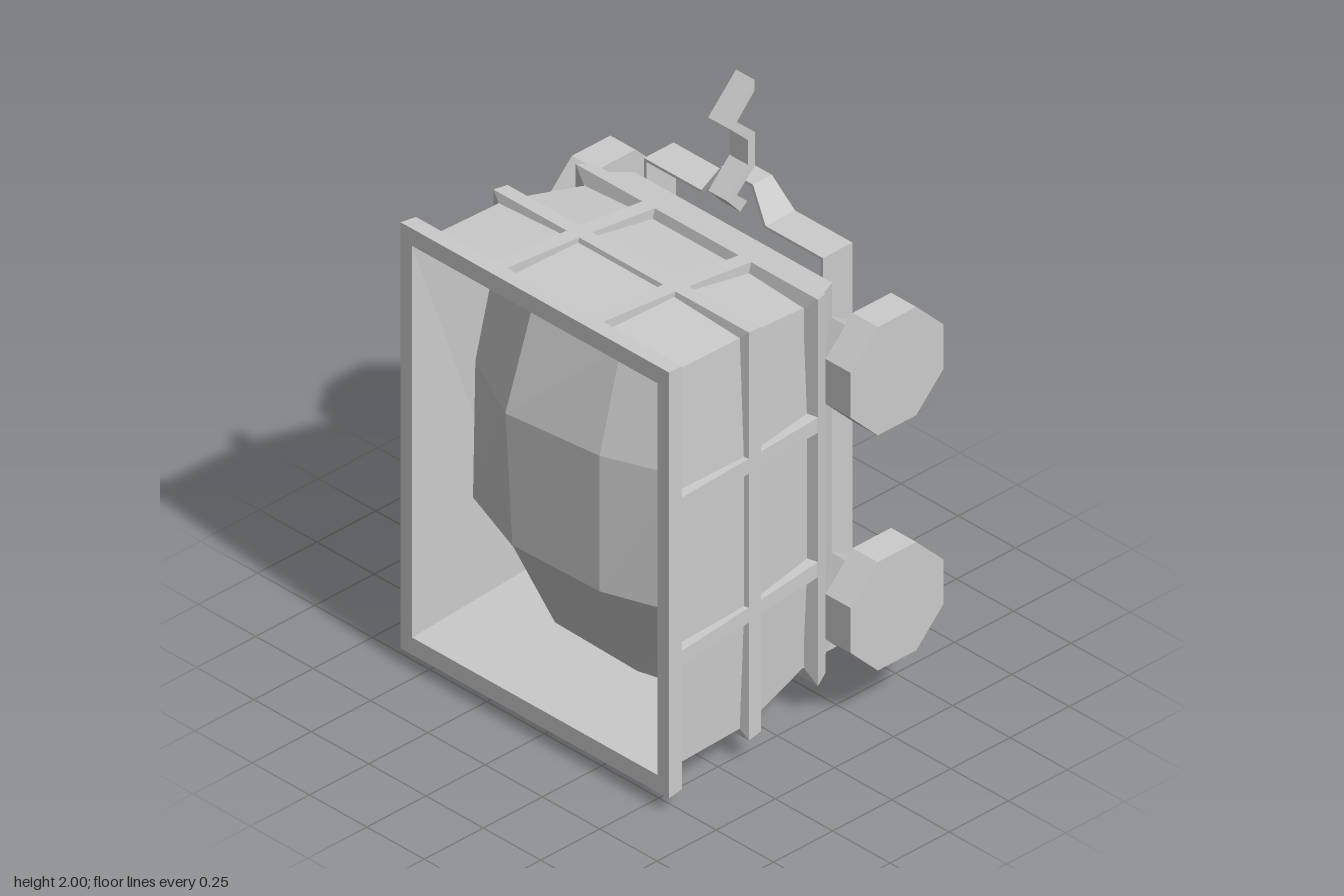
import * as THREE from 'three';

const CY = 0.825; // height of the tub's centre line
const material = new THREE.MeshStandardMaterial({ color: 0xcccccc, flatShading: true, side: THREE.DoubleSide });

// Outer half width and half height of the tub along its depth: [z, hx, hy]
const PROFILE = [[0.54, 0.585, 0.77], [0.15, 0.555, 0.735], [-0.14, 0.53, 0.7], [-0.2, 0.505, 0.685], [-0.3, 0.43, 0.645]];

function halfSize(z) {
  for (let i = 1; i < PROFILE.length; i++) {
    const [za, xa, ya] = PROFILE[i - 1], [zb, xb, yb] = PROFILE[i];
    if (z >= zb) {
      const t = (za - z) / (za - zb);
      return [xa + (xb - xa) * t, ya + (yb - ya) * t];
    }
  }
}

function rect(hx, hy, z) {
  return [[hx, CY + hy, z], [-hx, CY + hy, z], [-hx, CY - hy, z], [hx, CY - hy, z]];
}

function tubRing(z, inset) {
  const [hx, hy] = halfSize(z);
  return rect(hx - inset, hy - inset, z);
}

// Ring of the bulging skin: three panels per wall, sunk deeper at the corners
function skinRing(z, cornerInset, strapInset) {
  const [hx, hy] = halfSize(z);
  const cx = hx - cornerInset, cy = hy - cornerInset, sx = hx - strapInset, sy = hy - strapInset;
  return [
    [cx, cy], [0.21, sy], [-0.21, sy],
    [-cx, cy], [-sx, 0.25], [-sx, -0.28],
    [-cx, -cy], [-0.21, -sy], [0.21, -sy],
    [cx, -cy], [sx, -0.28], [sx, 0.25],
  ].map(([x, y]) => [x, CY + y, z]);
}

// Joins sections of equal point count; they can form a loop, or four-cornered ends can be capped
function loft(sections, { loop = false, caps = false } = {}) {
  const pos = [];
  const quad = (a, b, c, d) => pos.push(...a, ...b, ...c, ...a, ...c, ...d);
  const n = sections.length;
  for (let i = 0; i < (loop ? n : n - 1); i++) {
    const p = sections[i], q = sections[(i + 1) % n];
    for (let k = 0; k < p.length; k++) {
      const m = (k + 1) % p.length;
      quad(p[k], p[m], q[m], q[k]);
    }
  }
  if (caps) {
    quad(...[...sections[0]].reverse());
    quad(...sections[n - 1]);
  }
  const geo = new THREE.BufferGeometry();
  geo.setAttribute('position', new THREE.Float32BufferAttribute(pos, 3));
  geo.computeVertexNormals();
  return geo;
}

export function createModel() {
  const model = new THREE.Group();
  model.name = 'mineCart';
  const add = (name, geo, parent = model) => {
    const mesh = new THREE.Mesh(geo, material);
    mesh.name = name;
    parent.add(mesh);
    return mesh;
  };

  // Thin tub walls, open at the back, with a chamfered end
  add('tubWalls', loft([
    skinRing(0.49, 0.052, 0.035), skinRing(0.15, 0.03, 0.015), skinRing(-0.16, 0.05, 0.035),
    skinRing(-0.2, 0.02, 0.015), skinRing(-0.3, 0, 0)]));

  // Rim and two bands around the tub, with slightly bevelled sides
  const bands = [['rim', 0.54, 0.48, 0], ['middleBand', 0.175, 0.12, 0.012], ['lowerBand', -0.145, -0.2, 0.012]];
  for (const [name, a, b, bevel] of bands) {
    add(name, loft([tubRing(a, 0), tubRing(b, 0), tubRing(b, 0.05), tubRing(a + bevel, 0.05)], { loop: true }));
  }

  // Straps running along the depth, two on each wall
  const straps = new THREE.Group();
  straps.name = 'straps';
  model.add(straps);
  for (const wall of [-1, 1]) {
    for (const side of [-1, 1]) {
      const sideRings = [], topRings = [];
      for (const z of [0.52, 0.15, -0.14, -0.2]) {
        const [hx, hy] = halfSize(z);
        const y = CY - 0.015 + side * (0.265 + z * 0.025), x = side * 0.21, w = 0.027;
        const xo = wall * hx, xi = wall * (hx - 0.05);
        const yo = CY + wall * hy, yi = CY + wall * (hy - 0.05);
        sideRings.push([[xo, y - w, z], [xo, y + w, z], [xi, y + w, z], [xi, y - w, z]]);
        topRings.push([[x - w, yo, z], [x + w, yo, z], [x + w, yi, z], [x - w, yi, z]]);
      }
      add('sideStrap', loft(sideRings, { caps: true }), straps);
      add('topStrap', loft(topRings, { caps: true }), straps);
    }
  }

  // Faceted load bulging towards the opening
  const xs = [-0.455, -0.18, 0.19, 0.45], ys = [0.22, 0.58, 1.07, 1.42];
  const zs = [[0.12, 0.28, 0.29, 0.22], [0.36, 0.46, 0.45, 0.36], [0.35, 0.49, 0.45, 0.35], [0.26, 0.37, 0.36, 0.26]];
  const load = new THREE.PlaneGeometry(1, 1, 3, 3);
  for (let i = 0; i < 16; i++) {
    const c = i % 4, r = 3 - Math.floor(i / 4);
    load.attributes.position.setXYZ(i, xs[c], ys[r], zs[r][c]);
  }
  load.computeVertexNormals();
  add('load', load);

  // Sloping inner walls from the rim down to the corners of the load
  const lip = rect(0.535, 0.708, 0.54);
  const base = [[0.45, 1.42, 0.26], [-0.455, 1.42, 0.26], [-0.455, 0.22, 0.12], [0.45, 0.22, 0.22]];
  add('innerWalls', loft([lip, base]));
  add('rimFace', loft([tubRing(0.54, 0), lip]));

  // Undercarriage frame: a thin strap bent into a rectangle with a coupling loop at each end
  const T = 0.01;
  const frameEnd = [
    // x, y, back z, front z
    [0.39, 0.715, -0.425, -0.3],
    [0.14, 0.715, -0.425, -0.3],
    [0.07, 0.825, -0.395, -0.315]];
  const corner = ([x, y, zb, zf], sx, sy) => {
    const ox = sx * x, oy = CY + sy * y, ix = sx * (x - T), iy = CY + sy * (y - T);
    return [[ox, oy, zf], [ox, oy, zb], [ix, iy, zb], [ix, iy, zf]];
  };
  const outwards = [...frameEnd].reverse();
  add('frame', loft([
    ...frameEnd.map(p => corner(p, 1, 1)), ...outwards.map(p => corner(p, -1, 1)),
    ...frameEnd.map(p => corner(p, -1, -1)), ...outwards.map(p => corner(p, 1, -1))], { loop: true }));

  // Eight-sided wheels on short square axles
  const wheelGeo = new THREE.CylinderGeometry(0.212, 0.212, 0.11, 8, 1, false, Math.PI / 8).rotateZ(Math.PI / 2);
  const axleGeo = new THREE.CylinderGeometry(0.082, 0.082, 0.2, 4, 1, false, 1.33).rotateZ(Math.PI / 2);
  for (const side of [-1, 1]) {
    for (const y of [0.39, 1.24]) {
      const wheelSet = new THREE.Group();
      wheelSet.name = side > 0 ? 'leftWheel' : 'rightWheel';
      wheelSet.position.set(0, y, -0.345);
      add('wheel', wheelGeo, wheelSet).position.x = side * 0.612;
      add('axle', axleGeo, wheelSet).position.x = side * 0.475;
      model.add(wheelSet);
    }
  }

  // Zigzag coupling hook, drawn in (z, y) and extruded across x
  const hook = new THREE.Shape([
    [-0.35, 2], [-0.232, 1.88], [-0.322, 1.795], [-0.322, 1.705], [-0.232, 1.615], [-0.29, 1.55],
    [-0.32, 1.575], [-0.275, 1.615], [-0.352, 1.69], [-0.352, 1.81], [-0.275, 1.88], [-0.35, 1.96],
  ].map(([z, y]) => new THREE.Vector2(-z, y)));
  const hookGeo = new THREE.ExtrudeGeometry(hook, { depth: 0.08, bevelEnabled: false });
  add('couplingHook', hookGeo.translate(0, 0, -0.04).rotateY(Math.PI / 2));

  return model;
}
